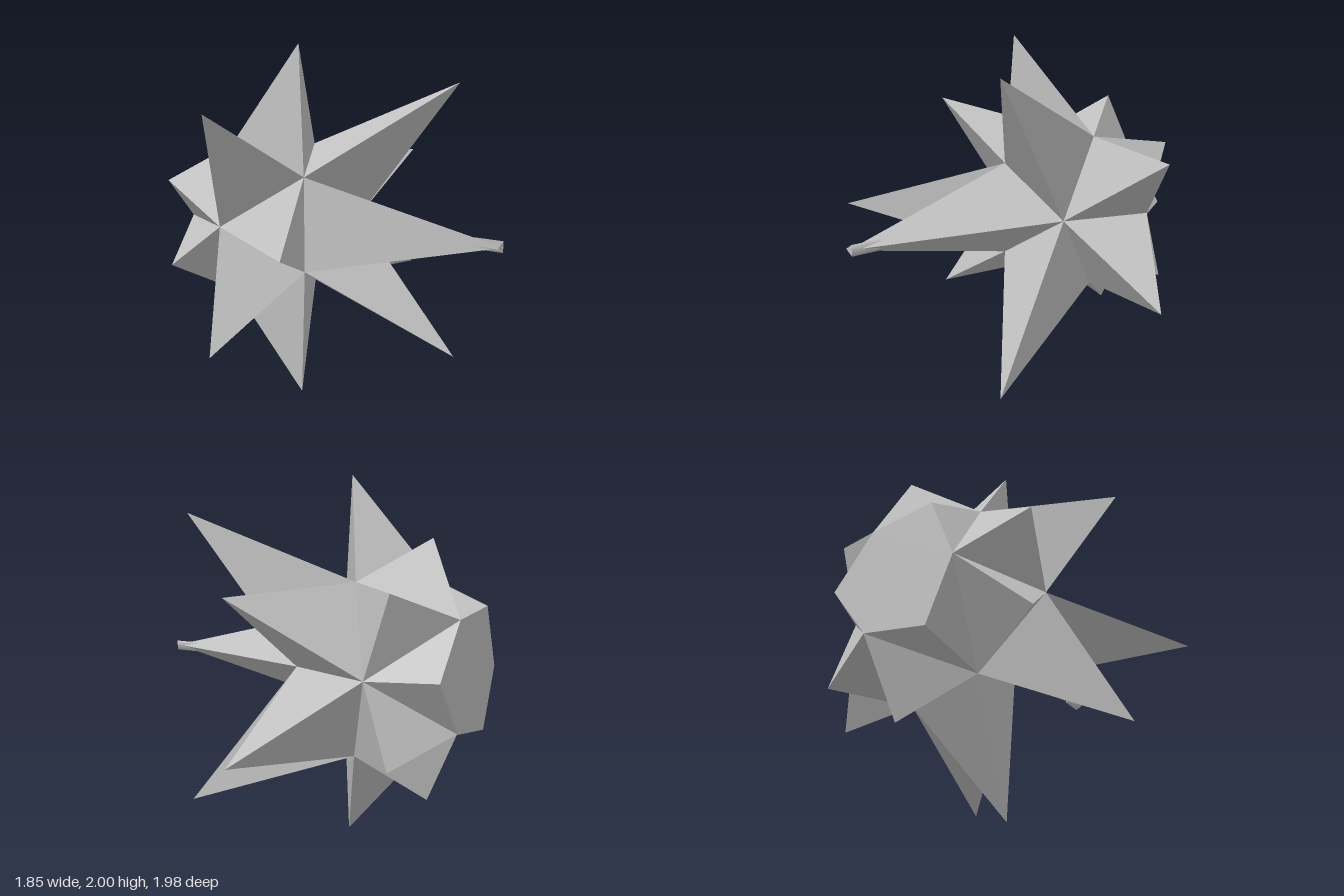
import * as THREE from 'three';

const EDGE = 0.54;
const CENTER = new THREE.Vector3(-0.012, 1, -0.588);

// Icosahedron corners as four triangular rings stacked along z
function coreCorners() {
  const rings = [
    [0.5774, 0.7558, 0],
    [0.9342, 0.1784, 60],
    [0.9342, -0.1784, 0],
    [0.5774, -0.7558, 60],
  ];
  const points = [];
  for (const [radius, z, start] of rings) {
    for (let i = 0; i < 3; i++) {
      const a = THREE.MathUtils.degToRad(start + i * 120);
      points.push(new THREE.Vector3(radius * Math.cos(a), radius * Math.sin(a), z).multiplyScalar(EDGE));
    }
  }
  return points;
}

// Every outward-facing triangle whose sides are one edge long
function coreFaces(p) {
  const near = (a, b) => Math.abs(a.distanceTo(b) - EDGE) < 0.02;
  const faces = [];
  for (let i = 0; i < 12; i++)
    for (let j = i + 1; j < 12; j++)
      for (let k = j + 1; k < 12; k++) {
        if (!near(p[i], p[j]) || !near(p[j], p[k]) || !near(p[i], p[k])) continue;
        const [a, b, c] = [p[i], p[j], p[k]];
        const n = b.clone().sub(a).cross(c.clone().sub(a));
        faces.push(n.dot(a) > 0 ? [a, b, c] : [a, c, b]);
      }
  return faces;
}

// Spike length and name by how far the face looks forward
function spikeType(nz) {
  if (nz > 0.9) return ['frontSpike', 1.573];
  if (nz > 0.6) return ['longSpike', 1.37];
  if (nz > 0) return ['middleSpike', 1.071];
  if (nz > -0.6) return ['shortSpike', 0.693];
  if (nz > -0.9) return ['backSpike', 0.5476];
  return ['flatBack', 0];
}

function flatGeometry(triangles) {
  const geometry = new THREE.BufferGeometry().setFromPoints(triangles.flat());
  geometry.computeVertexNormals();
  return geometry;
}

export function createModel() {
  const model = new THREE.Group();
  model.name = 'spikedStar';
  const grey = new THREE.MeshStandardMaterial({ color: 0xc0c0c0 });
  grey.name = 'grey';

  // Star: one three-sided spike on each core face, the back face stays flat
  const star = new THREE.Group();
  star.name = 'star';
  star.position.copy(CENTER);
  model.add(star);
  for (const [a, b, c] of coreFaces(coreCorners())) {
    const normal = a.clone().add(b).add(c).normalize();
    const [name, length] = spikeType(normal.z);
    const tip = normal.clone().multiplyScalar(length);
    const triangles = length ? [[a, b, tip], [b, c, tip], [c, a, tip]] : [[a, b, c]];
    const mesh = new THREE.Mesh(flatGeometry(triangles), grey);
    mesh.name = name;
    star.add(mesh);
  }

  // Small three-sided sleeve around the tip of the front spike
  const sleeve = new THREE.CylinderGeometry(0.033, 0.033, 0.16, 3, 1, false, -Math.PI / 2);
  sleeve.rotateX(Math.PI / 2);
  const tipSleeve = new THREE.Mesh(sleeve, grey);
  tipSleeve.name = 'tipSleeve';
  tipSleeve.position.set(CENTER.x, CENTER.y, 0.895);
  model.add(tipSleeve);

  return model;
}
